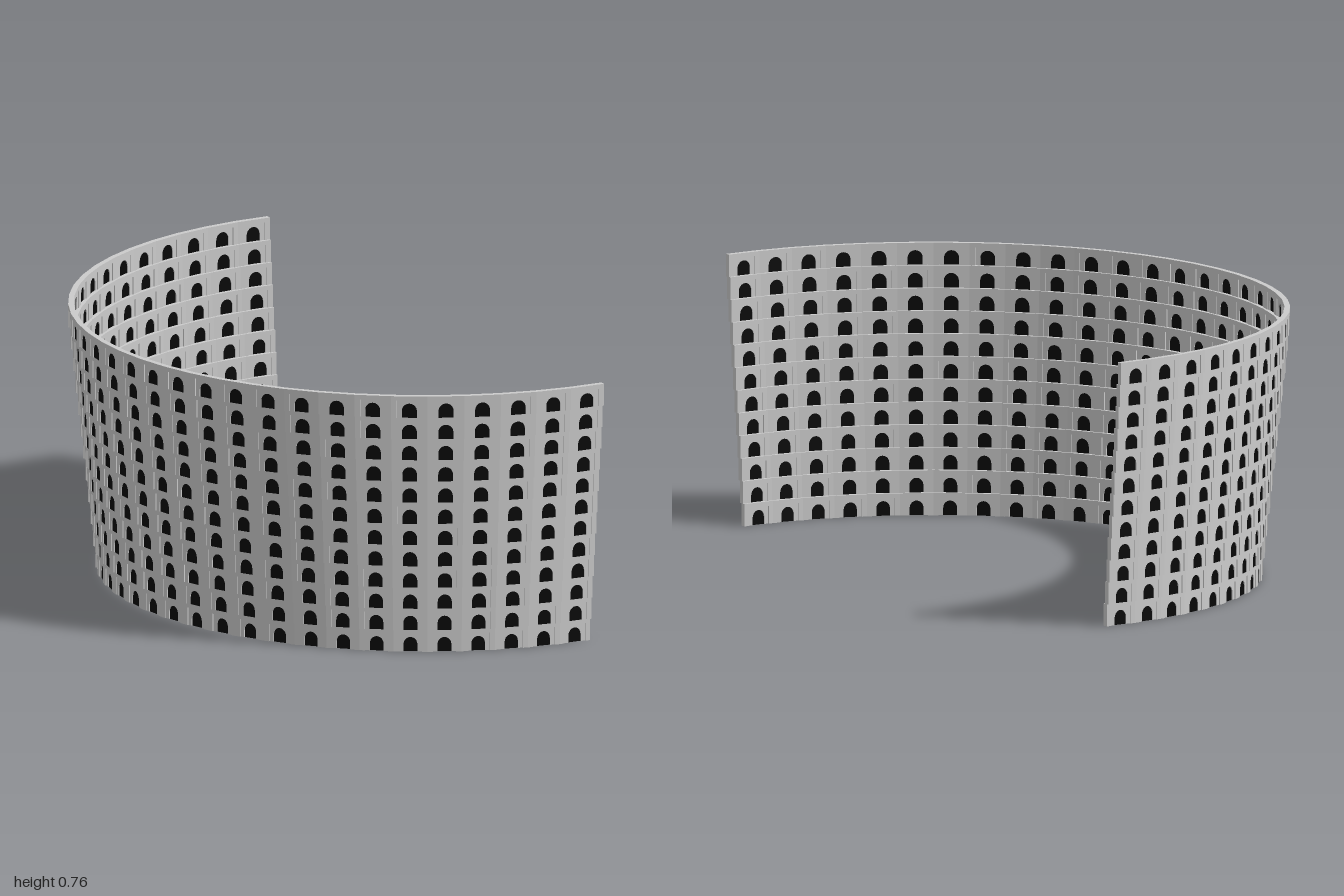
import * as THREE from 'three';
import { mergeGeometries } from 'three/addons/utils/BufferGeometryUtils.js';

const TIERS = 12, BAYS = 31;
const TIER_H = 0.762 / TIERS;
const CENTER_X = 0.47;
const R_BOTTOM = 0.922, R_TOP = 0.998;          // outer radius of lowest and highest tier
const START = THREE.MathUtils.degToRad(-93.3);
const STEP = THREE.MathUtils.degToRad(183.9) / BAYS;
const THICK = 0.016;

// Extrudes a shape and centres it in the wall thickness (outer face at z = 0)
function slab(shape, depth) {
  const g = new THREE.ExtrudeGeometry(shape, { depth, bevelEnabled: false, curveSegments: 10 });
  return g.translate(0, 0, -THICK / 2 - depth / 2);
}

// Arch outline points, standing on y = 0
function archPoints(halfW, height) {
  const pts = [new THREE.Vector2(-halfW, 0)];
  for (let i = 0; i <= 10; i++) {
    const a = Math.PI * (1 - i / 10);
    pts.push(new THREE.Vector2(halfW * Math.cos(a), height - halfW + halfW * Math.sin(a)));
  }
  pts.push(new THREE.Vector2(halfW, 0));
  return pts;
}

// Upside-down U: a rectangle with an opening that reaches the floor
function portal(halfW, height, opening) {
  const v = (x, y) => new THREE.Vector2(x, y);
  return new THREE.Shape([v(halfW, 0), v(halfW, height), v(-halfW, height), v(-halfW, 0), ...opening]);
}

export function createModel() {
  const model = new THREE.Group();
  model.name = 'archedWall';
  const stone = new THREE.MeshStandardMaterial({ color: 0xcccccc });
  const dark = new THREE.MeshStandardMaterial({ color: 0x080808 });

  // One bay: outer frame, recessed panel and dark arch filling
  const W = 2 * R_TOP * Math.sin(STEP / 2);
  const halfPanel = W * 0.34, panelH = TIER_H * 0.8;
  const arch = archPoints(W * 0.205, TIER_H * 0.66);
  const v = (x, y) => new THREE.Vector2(x, y);
  const rectOpening = [v(-halfPanel, 0), v(-halfPanel, panelH), v(halfPanel, panelH), v(halfPanel, 0)];
  const frame = slab(portal(W / 2, TIER_H, rectOpening), THICK);
  const panel = slab(portal(halfPanel, panelH, arch), THICK * 0.65);
  const bay = mergeGeometries([frame, panel]);
  const filling = slab(new THREE.Shape(arch), THICK * 0.3);

  // Each tier steps outward from the one below
  for (let t = 0; t < TIERS; t++) {
    const r = THREE.MathUtils.lerp(R_BOTTOM, R_TOP, t / (TIERS - 1));
    const apothem = r * Math.cos(STEP / 2);
    const bays = [], fillings = [];
    for (let i = 0; i < BAYS; i++) {
      const a = START + (i + 0.5) * STEP;
      const place = (g) => g.clone()
        .scale(r / R_TOP, 1, 1)
        .translate(0, t * TIER_H, apothem)
        .rotateY(a - Math.PI / 2)
        .translate(CENTER_X, 0, 0);
      bays.push(place(bay));
      fillings.push(place(filling));
    }
    const tier = new THREE.Group();
    tier.name = `tier${t + 1}`;
    const wall = new THREE.Mesh(mergeGeometries(bays), stone);
    wall.name = 'archFrames';
    const voids = new THREE.Mesh(mergeGeometries(fillings), dark);
    voids.name = 'darkOpenings';
    tier.add(wall, voids);
    model.add(tier);
  }
  return model;
}
